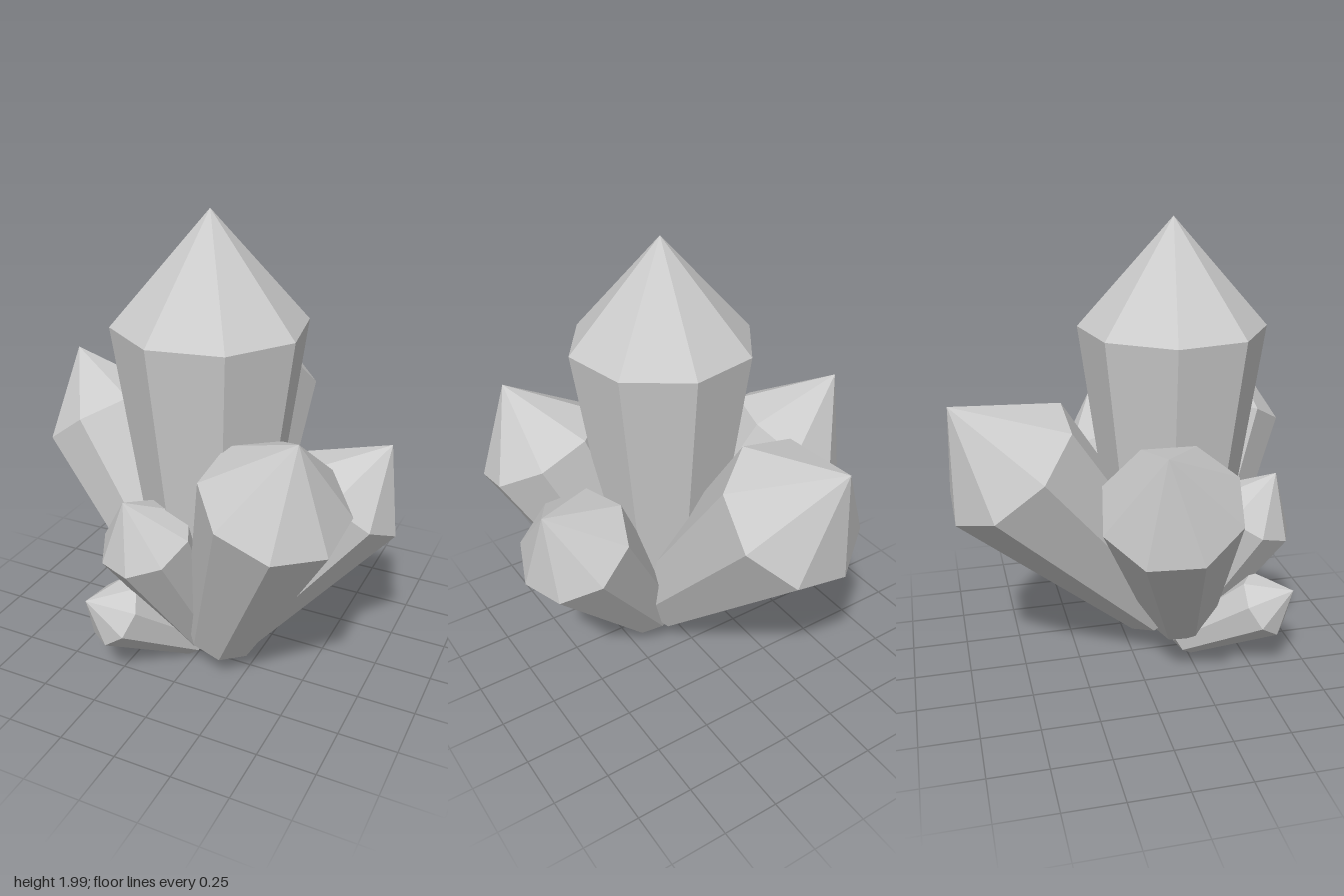
import * as THREE from 'three';

const SIDES = 8;

// name, base point, tip point, radius, turn about its own axis in degrees
const CRYSTALS = [
  ['mainCrystal', [0.03, 0.05, 0.18], [0.03, 2.0, 0.18], 0.4, 33.4],
  ['backCrystal', [0.075, 0.12, 0.23], [-0.19, 1.33, -0.78], 0.33, 19.5],
  ['frontLeftCrystal', [0.075, 0.055, 0.23], [0.58, 1.31, 0.61], 0.3, 21.5],
  ['leftCrystal', [0.08, 0.07, 0.19], [0.74, 1.06, -0.05], 0.258, 41],
  ['rightCrystal', [0.08, 0.08, 0.26], [-0.75, 1.26, -0.04], 0.29, 10],
  ['frontCrystal', [0.03, 0.05, 0.19], [-0.15, 0.91, 0.61], 0.204, 0],
  ['smallCrystal', [0.0, 0.03, 0.2], [-0.33, 0.42, 0.65], 0.15, 34],
];

// Bottom point, narrow lower ring, wide upper ring and tip, for radius 1 and length 1
const PROFILE = [[0, 0], [0.55, 0.1], [1, 0.768], [0, 1]];

function makeCrystal(name, base, tip, radius, turn, material) {
  const start = new THREE.Vector3(...base);
  const axis = new THREE.Vector3(...tip).sub(start);
  const length = axis.length();
  const points = PROFILE.map(([r, y]) => new THREE.Vector2(r * radius, y * length));
  const geometry = new THREE.LatheGeometry(points, SIDES, THREE.MathUtils.degToRad(turn));
  const mesh = new THREE.Mesh(geometry, material);
  mesh.name = name;
  mesh.position.copy(start);
  mesh.quaternion.setFromUnitVectors(new THREE.Vector3(0, 1, 0), axis.normalize());
  return mesh;
}

export function createModel() {
  const group = new THREE.Group();
  group.name = 'crystalCluster';
  const material = new THREE.MeshStandardMaterial({ color: 0xcccccc, flatShading: true });
  for (const [name, base, tip, radius, turn] of CRYSTALS) {
    group.add(makeCrystal(name, base, tip, radius, turn, material));
  }
  return group;
}
